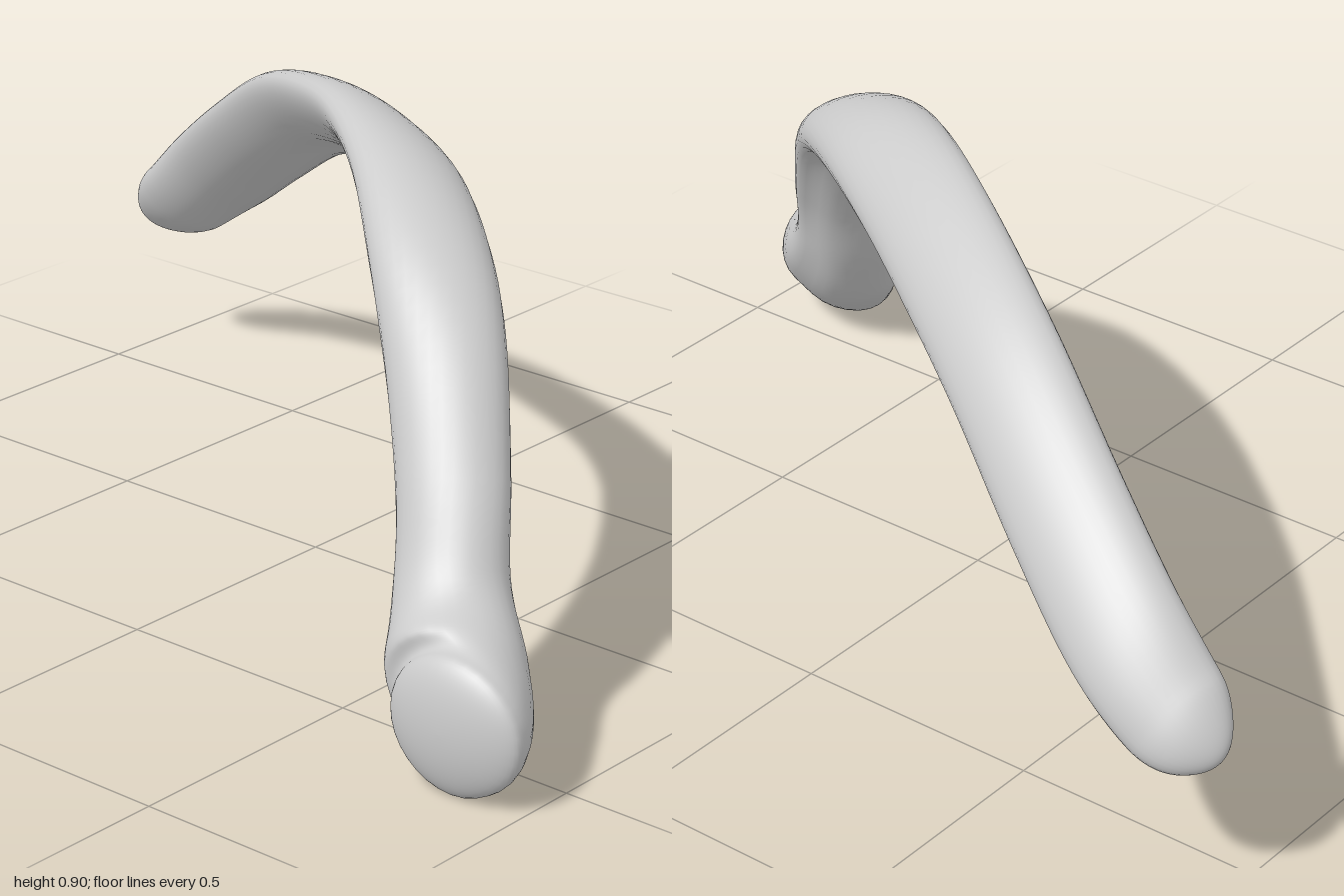
import * as THREE from 'three';

// Stations from the knobbly head to the tapered tip:
// centre x, y, z, then half width, half thickness and twist in degrees.
const stations = [
  [-0.674, 0.13, 0.86, 0.13, 0.122, 0],
  [-0.61, 0.132, 0.855, 0.142, 0.13, 0],
  [-0.545, 0.185, 0.795, 0.128, 0.112, 8],
  [-0.475, 0.28, 0.725, 0.105, 0.082, 18],
  [-0.395, 0.435, 0.66, 0.102, 0.074, 18],
  [-0.29, 0.61, 0.555, 0.108, 0.075, 12],
  [-0.18, 0.73, 0.43, 0.112, 0.072, -5],
  [-0.03, 0.81, 0.25, 0.112, 0.066, -22],
  [0.105, 0.822, 0.06, 0.115, 0.06, -36],
  [0.235, 0.785, -0.14, 0.117, 0.058, -41],
  [0.37, 0.71, -0.36, 0.117, 0.057, -43],
  [0.49, 0.58, -0.58, 0.117, 0.057, -44],
  [0.575, 0.45, -0.77, 0.114, 0.057, -44],
  [0.60, 0.35, -0.90, 0.102, 0.053, -45],
  [0.603, 0.29, -0.995, 0.085, 0.045, -46],
];

const curveOf = (from) => new THREE.CatmullRomCurve3(
  stations.map((s) => new THREE.Vector3(s[from], s[from + 1], s[from + 2])), false, 'catmullrom', 0.5);

// Quarter-ellipse falloff that rounds off an end
const roundEnd = (distance, length) => {
  const k = 1 - Math.min(distance / length, 1);
  return Math.sqrt(Math.max(0, 1 - k * k));
};

function ribGeometry() {
  const path = curveOf(0), shape = curveOf(3);
  const spans = stations.length - 1, rings = 120, sides = 32;
  const up = new THREE.Vector3(0, 1, 0), headAxis = new THREE.Vector3(1, 0, 0);
  const positions = [], index = [];

  for (let i = 0; i <= rings; i++) {
    // rings crowd together towards both ends
    const u = 0.5 - 0.5 * Math.cos((Math.PI * i) / rings);
    const centre = path.getPoint(u), size = shape.getPoint(u);
    // the head is cut off sideways, so its sections swing round to face x
    const swing = 1 - THREE.MathUtils.smoothstep(u * spans, 0.5, 3);
    const tangent = path.getTangent(u).lerp(headAxis, swing).normalize();
    const outward = new THREE.Vector3().crossVectors(tangent, up).normalize();
    const raised = new THREE.Vector3().crossVectors(outward, tangent);
    const end = roundEnd(u * spans, 0.7) * roundEnd((1 - u) * spans, 1.1);
    const twist = THREE.MathUtils.degToRad(size.z);
    const wide = outward.clone().multiplyScalar(Math.cos(twist)).addScaledVector(raised, Math.sin(twist));
    const thin = raised.clone().multiplyScalar(Math.cos(twist)).addScaledVector(outward, -Math.sin(twist));
    const shaft = Math.sin(Math.PI * u);

    for (let j = 0; j < sides; j++) {
      const a = (j / sides) * Math.PI * 2;
      let t = Math.sin(a);
      // flatter inner face with a shallow groove beside the lower edge
      if (t < 0) t = t * (1 - 0.15 * shaft) + 0.2 * shaft * Math.exp(-(((a - 5.3) / 0.35) ** 2));
      const p = centre.clone()
        .addScaledVector(wide, Math.cos(a) * size.x * end)
        .addScaledVector(thin, t * size.y * end);
      positions.push(p.x, p.y, p.z);
      if (i < rings) {
        const p0 = i * sides + j, p1 = i * sides + ((j + 1) % sides);
        index.push(p0, p0 + sides, p1, p1, p0 + sides, p1 + sides);
      }
    }
  }

  const geometry = new THREE.BufferGeometry();
  geometry.setAttribute('position', new THREE.Float32BufferAttribute(positions, 3));
  geometry.setIndex(index);
  geometry.computeVertexNormals();
  return geometry;
}

export function createModel() {
  const model = new THREE.Group();
  model.name = 'ribBone';
  const rib = new THREE.Mesh(ribGeometry(), new THREE.MeshStandardMaterial({ color: 0xcccccc }));
  rib.name = 'rib';
  model.add(rib);
  return model;
}
